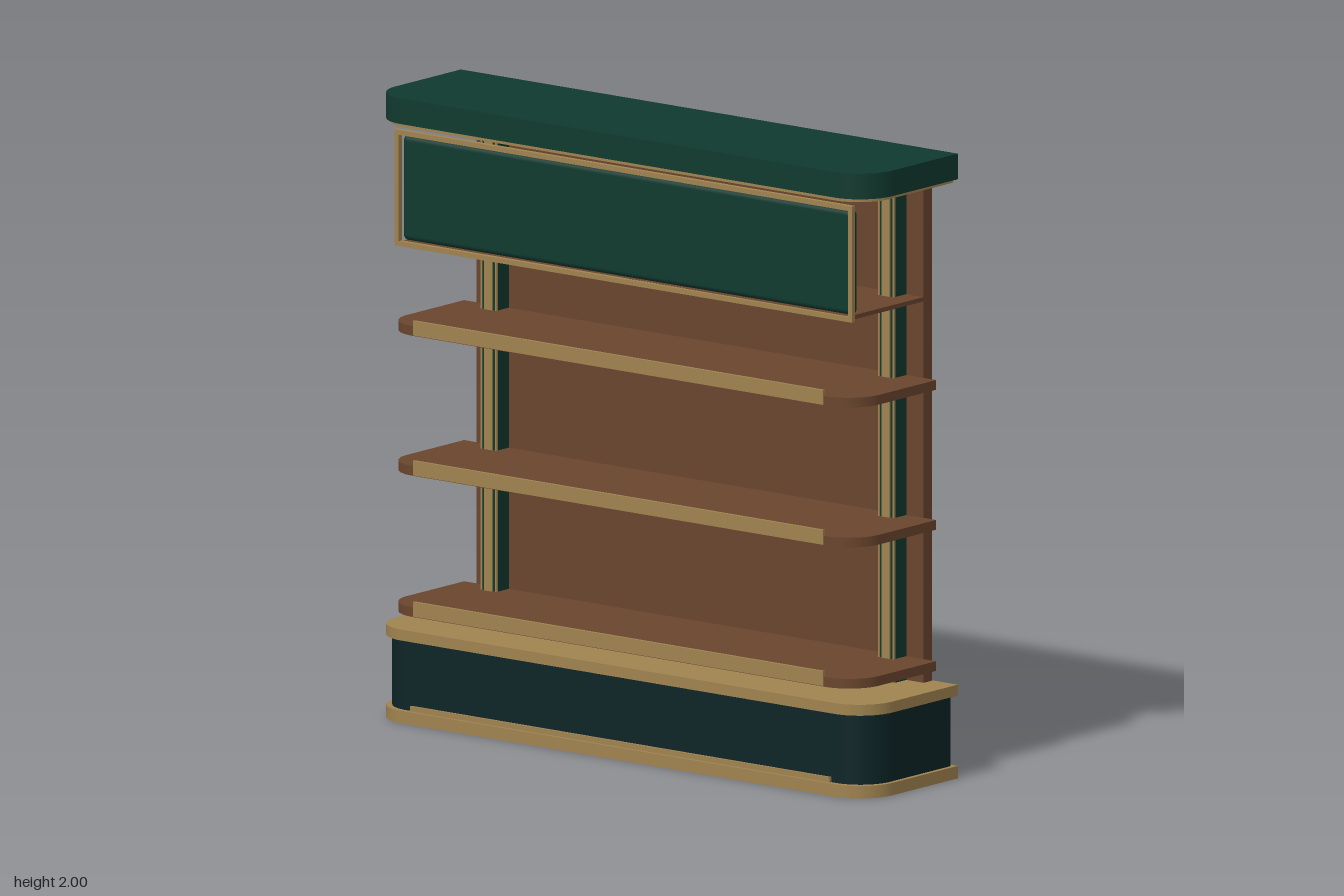
import * as THREE from 'three';
import { RoundedBoxGeometry } from 'three/addons/geometries/RoundedBoxGeometry.js';

const material = (name, color) => {
  const m = new THREE.MeshStandardMaterial({ color });
  m.name = name;
  return m;
};

export function createModel() {
  const green = material('deep green', 0x10392f);
  const darkTeal = material('dark teal', 0x0d2426);
  const gold = material('brass', 0xa08350);
  const wood = material('brown wood', 0x6a452d);
  const light = material('pale light strip', 0xd8c08a);
  const group = new THREE.Group();

  const add = (name, geometry, mat) => {
    const mesh = new THREE.Mesh(geometry, mat);
    mesh.name = name;
    group.add(mesh);
    return mesh;
  };

  // Box given by its minimum and maximum on each axis
  const box = (name, mat, x0, x1, y0, y1, z0, z1) =>
    add(name, new THREE.BoxGeometry(x1 - x0, y1 - y0, z1 - z0), mat)
      .position.set((x0 + x1) / 2, (y0 + y1) / 2, (z0 + z1) / 2);

  // Horizontal slab with square back corners and rounded front corners
  const slab = (name, mat, half, y0, y1, back, front, r) => {
    const s = new THREE.Shape();
    s.moveTo(-half, -back);
    s.lineTo(-half, -front + r);
    s.absarc(-half + r, -front + r, r, Math.PI, Math.PI * 1.5, false);
    s.lineTo(half - r, -front);
    s.absarc(half - r, -front + r, r, Math.PI * 1.5, Math.PI * 2, false);
    s.lineTo(half, -back);
    s.closePath();
    const g = new THREE.ExtrudeGeometry(s, { depth: y1 - y0, bevelEnabled: false, curveSegments: 12 });
    g.rotateX(-Math.PI / 2);
    g.translate(0, y0, 0);
    add(name, g, mat);
  };

  // Plinth
  slab('plinthFoot', gold, 1, 0, 0.04, -0.228, 0.228, 0.13);
  slab('plinthBody', darkTeal, 0.985, 0.04, 0.265, -0.21, 0.21, 0.12);
  slab('plinthTop', gold, 1, 0.265, 0.3, -0.228, 0.228, 0.13);
  box('kickStrip', gold, -0.845, 0.845, 0.04, 0.057, 0.208, 0.218);

  // Back panel
  box('backPanel', wood, -0.9, 0.9, 0.3, 1.906, -0.223, -0.182);

  // Uprights with brass facing and edge lines
  for (const side of [-1, 1]) {
    const x = side * 0.8;
    box('upright', green, x - 0.03, x + 0.03, 0.3, 1.906, -0.182, -0.121);
    box('uprightFacing', gold, x - 0.016, x + 0.016, 0.3, 1.906, -0.121, -0.116);
    for (const e of [-1, 1]) {
      const ex = x + e * 0.029;
      box('uprightEdge', gold, ex - 0.003, ex + 0.003, 0.3, 1.906, -0.126, -0.118);
    }
  }

  // Shelves with a raised front lip and a light strip below
  for (const y of [0.345, 0.797, 1.245]) {
    slab('shelf', wood, 0.95, y, y + 0.031, -0.182, 0.222, 0.12);
    box('shelfLip', gold, -0.825, 0.825, y + 0.003, y + 0.05, 0.218, 0.228);
    box('shelfLight', light, -0.82, 0.82, y - 0.008, y, 0.152, 0.166);
  }

  // Header shelf, sign board and its frame
  box('headerShelf', wood, -0.9, 0.9, 1.521, 1.535, -0.182, 0.19);
  box('headerLight', light, -0.78, 0.78, 1.511, 1.521, 0.148, 0.162);
  add('signBoard', new RoundedBoxGeometry(1.81, 0.336, 0.038, 4, 0.018), green)
    .position.set(0, 1.704, 0.166);
  for (const side of [-1, 1]) {
    const x = side * 0.912, y = 1.705 + side * 0.178;
    box('signFrameSide', gold, x - 0.008, x + 0.008, 1.519, 1.891, 0.185, 0.201);
    box('signFrameRail', gold, -0.904, 0.904, y - 0.008, y + 0.008, 0.185, 0.201);
  }

  // Canopy
  slab('canopyTrim', gold, 0.985, 1.906, 1.92, -0.223, 0.216, 0.12);
  slab('canopy', green, 1, 1.918, 2, -0.228, 0.228, 0.13);

  return group;
}
